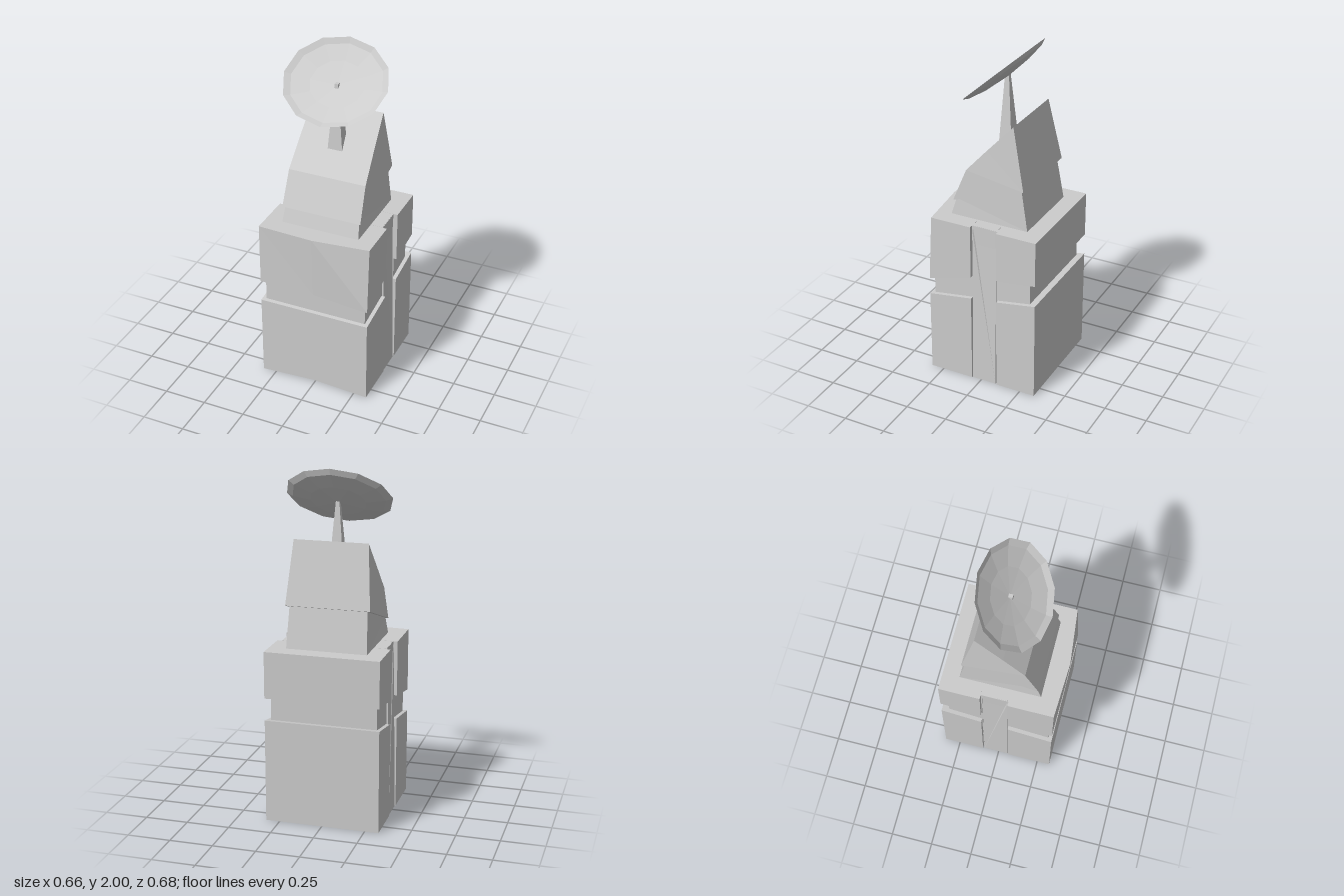
import * as THREE from 'three';

const material = new THREE.MeshStandardMaterial({ color: 0xcccccc, flatShading: true, side: THREE.DoubleSide });

// Skin a row of matching cross-sections (running from -x to +x) and cap both ends.
function loft(name, sections) {
  const pos = [];
  const tri = (...pts) => pts.forEach((p) => pos.push(...p));
  const n = sections[0].length;
  for (let s = 0; s < sections.length - 1; s++) {
    const a = sections[s], b = sections[s + 1];
    for (let i = 0; i < n; i++) {
      const j = (i + 1) % n;
      tri(a[i], a[j], b[j]);
      tri(a[i], b[j], b[i]);
    }
  }
  const first = sections[0], last = sections[sections.length - 1];
  for (let i = 1; i < n - 1; i++) {
    tri(last[0], last[i], last[i + 1]);
    tri(first[0], first[i + 1], first[i]);
  }
  const geo = new THREE.BufferGeometry();
  geo.setAttribute('position', new THREE.Float32BufferAttribute(pos, 3));
  geo.computeVertexNormals();
  const mesh = new THREE.Mesh(geo, material);
  mesh.name = name;
  return mesh;
}

// Side outline of [z, y] points placed at one x.
const at = (x, pts) => pts.map(([z, y]) => [x, y, z]);

// Left-right symmetric body from the outline [x, y, z] of its left side.
const mirrored = (name, pts) => loft(name, [-1, 1].map((s) => pts.map(([x, y, z]) => [s * x, y, z])));

export function createModel() {
  const model = new THREE.Group();
  model.name = 'dishTower';

  // Tower: recessed core with four stone blocks around it
  const tower = new THREE.Group();
  tower.name = 'tower';
  const W = 0.33;
  tower.add(
    mirrored('core', [
      [0.31, 0.002, -0.3], [0.305, 0.999, -0.3], [0.305, 0.999, 0.305], [0.31, 0.002, 0.305],
    ]),
    mirrored('sidePanel', [
      [0.326, 0, -0.092], [0.31, 0.96, -0.092], [0.303, 1, -0.092],
      [0.303, 1, 0.055], [0.31, 0.96, 0.055], [0.326, 0, 0.055],
    ]),
    loft('lowerFrontBlock', [
      at(-W, [[0.06, 0], [0.06, 0.54], [0.327, 0.5], [0.327, 0]]),
      at(0, [[0.06, 0], [0.06, 0.54], [0.327, 0.5], [0.327, 0.02]]),
      at(W, [[0.06, 0], [0.06, 0.54], [0.327, 0.5], [0.327, 0]]),
    ]),
    loft('upperFrontBlock', [
      at(-W, [[0.06, 0.68], [0.06, 1], [0.327, 1], [0.327, 0.63]]),
      at(0, [[0.06, 0.68], [0.06, 1], [0.342, 1], [0.33, 0.63]]),
      at(W, [[0.06, 0.68], [0.06, 1], [0.306, 1], [0.327, 0.6]]),
    ]),
    mirrored('lowerBackBlock', [
      [W, 0, -0.341], [W, 0.6, -0.341], [W, 0.56, -0.1], [W, 0, -0.1],
    ]),
    mirrored('upperBackBlock', [
      [W, 0.73, -0.341], [W, 1, -0.341], [W, 1, -0.1], [W, 0.7, -0.1],
    ]),
  );
  model.add(tower);

  // Sloping head in two pieces, split by a slanted seam
  const head = new THREE.Group();
  head.name = 'head';
  head.add(
    mirrored('headBase', [
      [0.232, 1, -0.243], [0.222, 1.25, -0.2], [0.222, 1.1, 0.2], [0.232, 1, 0.23],
    ]),
    mirrored('headWedge', [
      [0.242, 1.24, -0.222], [0.213, 1.6, -0.147], [0.222, 1.43, 0.01],
      [0.23, 1.29, 0.135], [0.236, 1.09, 0.216],
    ]),
  );
  model.add(head);

  // Tapered stalk
  model.add(mirrored('stalk', [
    [0.045, 1.38, -0.05], [0.01, 1.8, -0.016], [0.01, 1.8, 0.008], [0.046, 1.38, 0.03],
  ]));

  // Shallow faceted dish, tilted to face forward and up
  const profile = [[0, -0.045], [0.14, -0.036], [0.235, -0.018], [0.267, 0]];
  const dish = new THREE.Mesh(
    new THREE.LatheGeometry(profile.map(([r, y]) => new THREE.Vector2(r, y)), 12), material);
  dish.name = 'dish';
  dish.scale.x = 1.14;
  dish.rotation.x = Math.atan2(0.356, 0.395);
  dish.position.set(0, 1.822, 0.022);
  model.add(dish);

  return model;
}
